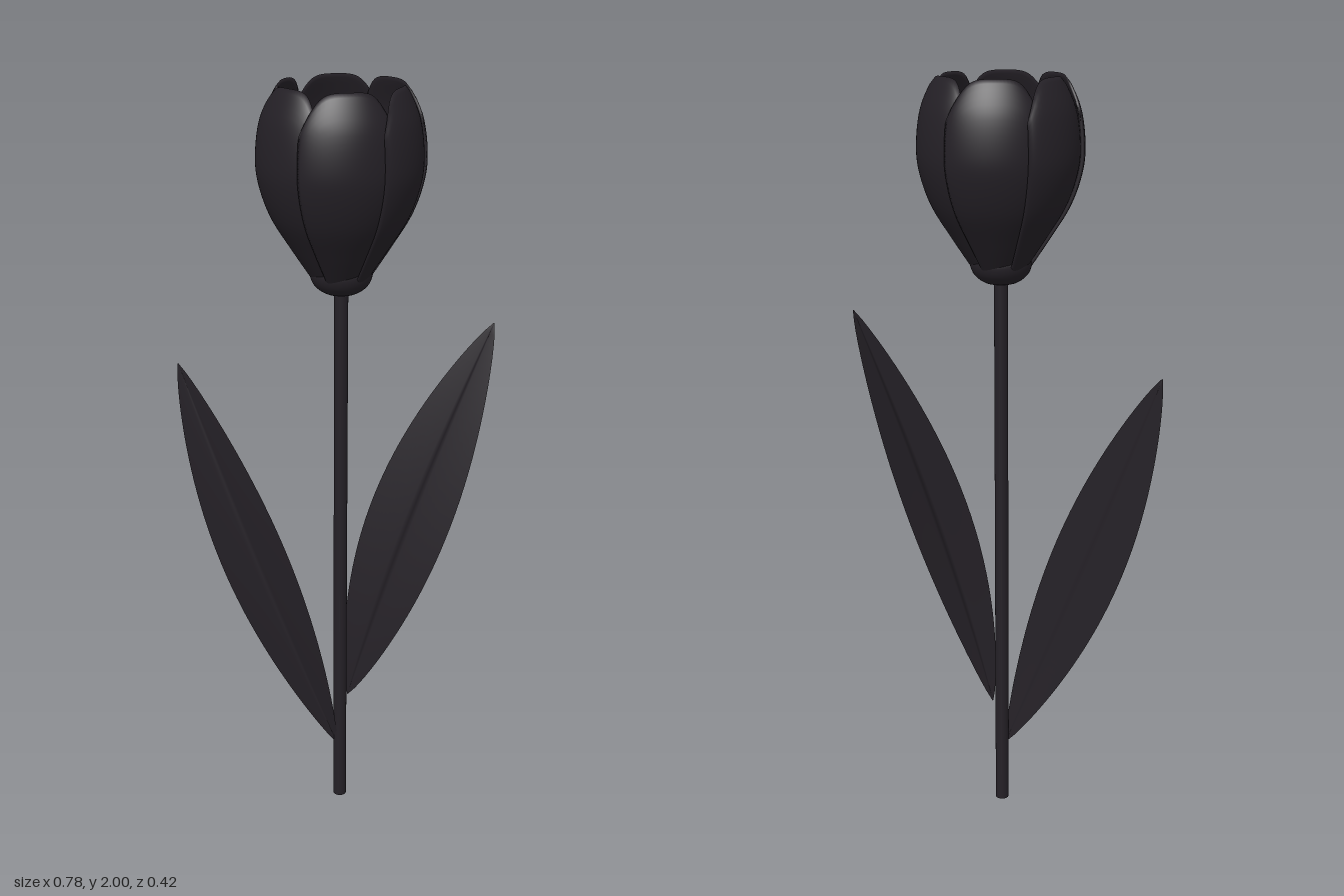
import * as THREE from 'three';
import { ParametricGeometry } from 'three/addons/geometries/ParametricGeometry.js';

const CENTER_X = 0.03;
const black = new THREE.MeshStandardMaterial({ color: 0x242026, side: THREE.DoubleSide });

function addMesh(parent, name, geometry) {
  const mesh = new THREE.Mesh(geometry, black);
  mesh.name = name;
  parent.add(mesh);
  return mesh;
}

// Thin closed sheet: two faces that meet along the rim.
// point(u, v, side, target): u in -1..1 across, v in 0..1 along, side = +1 / -1
function addSheet(parent, name, point, across, along) {
  const sheet = new THREE.Group();
  sheet.name = name;
  for (const side of [1, -1]) {
    const face = (s, t, target) => point(side * (2 * s - 1), t, side, target);
    addMesh(sheet, name + (side > 0 ? 'Front' : 'Back'), new ParametricGeometry(face, across, along));
  }
  parent.add(sheet);
  return sheet;
}

// Petal side profile as (radius, height)
const petalProfile = new THREE.SplineCurve([
  [0.06, 1.52], [0.113, 1.6], [0.162, 1.68], [0.19, 1.76],
  [0.197, 1.83], [0.186, 1.92], [0.155, 2.0],
].map(([r, y]) => new THREE.Vector2(r, y)));

// Cupped petal with rounded top; one edge sits outside its neighbour
function petalPoint(u, v, side, target) {
  const p = petalProfile.getPoint(v * (1 - 0.2 * Math.abs(u) ** 3.5));
  const thickness = 0.008 * Math.sqrt(Math.max(0, 1 - u ** 6)) * Math.sqrt(Math.max(0, 1 - v ** 12));
  const r = p.x + 0.008 * u - side * thickness;
  const a = u * THREE.MathUtils.degToRad(37);
  target.set(r * Math.cos(a), p.y, r * Math.sin(a));
}

// Long pointed leaf between base and tip, folded slightly along its midrib
function addLeaf(parent, name, { base, tip, width, bow, depth }) {
  const axis = new THREE.Vector2().subVectors(tip, base);
  const dir = axis.clone().normalize();
  const point = (u, v, side, target) => {
    const shape = Math.sin(Math.PI * v) ** 0.8 || 0;
    const w = u * Math.max(width * shape, 0.001) + bow * Math.sin(Math.PI * v);
    const x = base.x + axis.x * v + dir.y * w;
    const y = base.y + axis.y * v - dir.x * w;
    const fold = 0.012 * shape * (Math.abs(u) ** 0.8 - 0.5);
    const z = depth((y - base.y) / axis.y) + fold + side * 0.004 * shape * (1 - u * u);
    target.set(x, y, z);
  };
  addSheet(parent, name, point, 20, 40);
}

export function createModel() {
  const model = new THREE.Group();
  model.name = 'tulip';

  // Stem
  addMesh(model, 'stem', new THREE.CylinderGeometry(0.018, 0.018, 1.5, 24))
    .position.set(CENTER_X, 0.75, 0);

  // Flower head
  const flower = new THREE.Group();
  flower.name = 'flower';
  flower.position.x = CENTER_X;
  model.add(flower);

  const cup = new THREE.SplineCurve([
    [0.001, 1.478], [0.04, 1.485], [0.068, 1.505], [0.079, 1.532],
    [0.073, 1.552], [0.045, 1.562], [0.001, 1.566],
  ].map(([r, y]) => new THREE.Vector2(r, y)));
  addMesh(flower, 'receptacle', new THREE.LatheGeometry(cup.getPoints(24), 40));

  for (let i = 0; i < 6; i++) {
    const angle = (i * Math.PI) / 3;
    addSheet(flower, 'petal', petalPoint, 24, 32).rotation.y = -angle;

    // Stamen with a round anther
    const x = 0.047 * Math.cos(angle), z = 0.047 * Math.sin(angle);
    addMesh(flower, 'filament', new THREE.CylinderGeometry(0.004, 0.004, 0.06, 10)).position.set(x, 1.58, z);
    addMesh(flower, 'anther', new THREE.SphereGeometry(0.01, 14, 10)).position.set(x, 1.61, z);
  }

  // Leaves: the left one arches back, the right one leans forward
  addLeaf(model, 'leftLeaf', {
    base: new THREE.Vector2(0.04, 0.31), tip: new THREE.Vector2(0.38, 1.4),
    width: 0.113, bow: -0.014,
    depth: (t) => -0.03 - 0.14 * Math.max(t, 0) ** 1.6,
  });
  addLeaf(model, 'rightLeaf', {
    base: new THREE.Vector2(0.025, 0.17), tip: new THREE.Vector2(-0.39, 1.27),
    width: 0.107, bow: 0,
    depth: (t) => 0.01 + 0.09 * (1 - (1 - t) ** 2),
  });

  return model;
}
